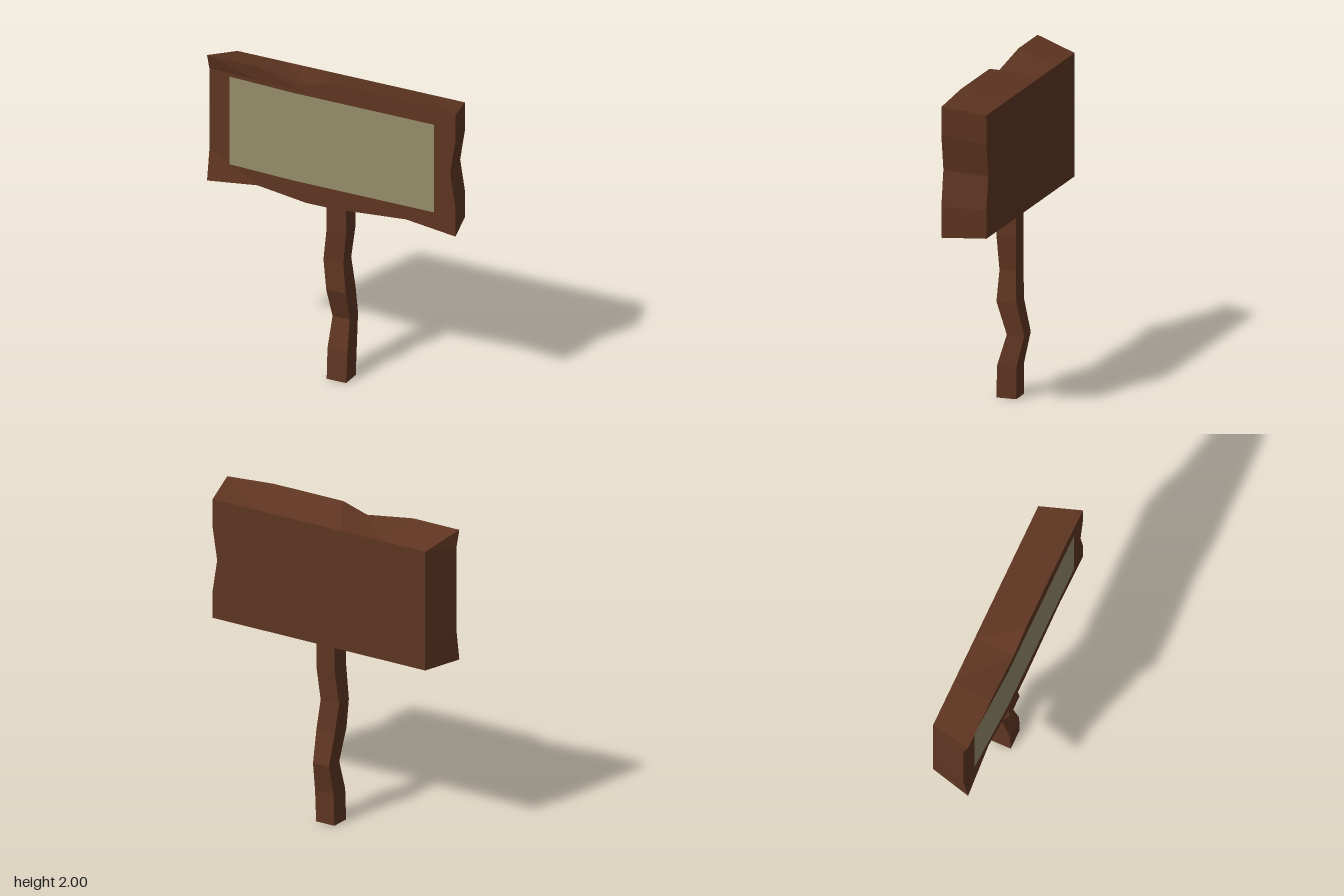
import * as THREE from 'three';

const wood = new THREE.MeshStandardMaterial({ color: 0x5e3521, flatShading: true });
const paper = new THREE.MeshStandardMaterial({ color: 0x958c69, flatShading: true, side: THREE.DoubleSide });

// Moves every vertex of a geometry by a rule: (x, y, z) -> [x, y, z]
function reshape(geometry, rule) {
  const p = geometry.attributes.position;
  for (let i = 0; i < p.count; i++) p.setXYZ(i, ...rule(p.getX(i), p.getY(i), p.getZ(i)));
  geometry.computeVertexNormals();
  return geometry;
}

function addMesh(group, name, geometry, material) {
  const mesh = new THREE.Mesh(geometry, material);
  mesh.name = name;
  group.add(mesh);
}

// Rough-hewn board: wavy outline in front, tapering to a smaller straight back
function boardGeometry() {
  const columns = [-0.83, -0.5, -0.17, 0, 0.5, 0.83];
  const topEdge = [2, 2, 1.95, 2, 2, 1.975];
  const bottomEdge = [1.17, 1.205, 1.17, 1.17, 1.21, 1.17];
  const rows = [1.17, 1.36, 1.58, 1.8, 1.9, 2];
  const dent = [0.03, 0.015, 0, 0, 0, 0];

  return reshape(new THREE.BoxGeometry(1, 1, 1, 5, 5, 1).rotateZ(Math.PI / 2), (x, y, z) => {
    const i = Math.round((x + 0.5) * 5);
    const j = Math.round((y + 0.5) * 5);
    const notch = i === 5 && j === 2 ? 0.035 : 0;
    const px = columns[i] - notch;
    if (z < 0) {
      const py = j === 5 ? 1.93 : 1.17 + (rows[j] - 1.17) * 0.915;
      return [px * 0.916, py, -0.13];
    }
    const py = j === 0 ? bottomEdge[i] : j === 5 ? topEdge[i] : rows[j];
    // the left side of the face is hewn back, leaving its corners proud
    const dented = (j > 0 && j < 5) || (j === 0 && i === 1);
    return [px, py, 0.13 - (dented ? dent[i] : 0)];
  });
}

// Thin sheet on the board, bent to follow the hewn left side
function panelGeometry() {
  const columns = [[-0.69, 0.11], [-0.25, 0.132], [0.69, 0.133]];
  return reshape(new THREE.PlaneGeometry(2, 1, 2, 1), (x, y) => {
    const [px, pz] = columns[Math.round(x + 1)];
    return [px, y > 0 ? 1.88 : 1.3, pz];
  });
}

// Crooked square post, one entry per ring: y, x min, x max, z min, z max
function postGeometry() {
  const rings = [
    [0, -0.065, 0.065, -0.063, 0.063],
    [0.2, -0.063, 0.07, -0.067, 0.056],
    [0.39, -0.058, 0.056, -0.11, 0],
    [0.59, -0.068, 0.063, -0.063, 0.063],
    [0.78, -0.092, 0.04, -0.052, 0.052],
    [0.99, -0.066, 0.064, -0.062, 0.062],
    [1.18, -0.066, 0.064, -0.063, 0.063],
  ];
  return reshape(new THREE.BoxGeometry(1, 1, 1, 1, 6, 1), (x, y, z) => {
    const [py, x0, x1, z0, z1] = rings[Math.round((y + 0.5) * 6)];
    return [x < 0 ? x0 : x1, py, z < 0 ? z0 : z1];
  });
}

export function createModel() {
  const group = new THREE.Group();
  group.name = 'signpost';
  addMesh(group, 'board', boardGeometry(), wood);
  addMesh(group, 'panel', panelGeometry(), paper);
  addMesh(group, 'post', postGeometry(), wood);
  return group;
}
